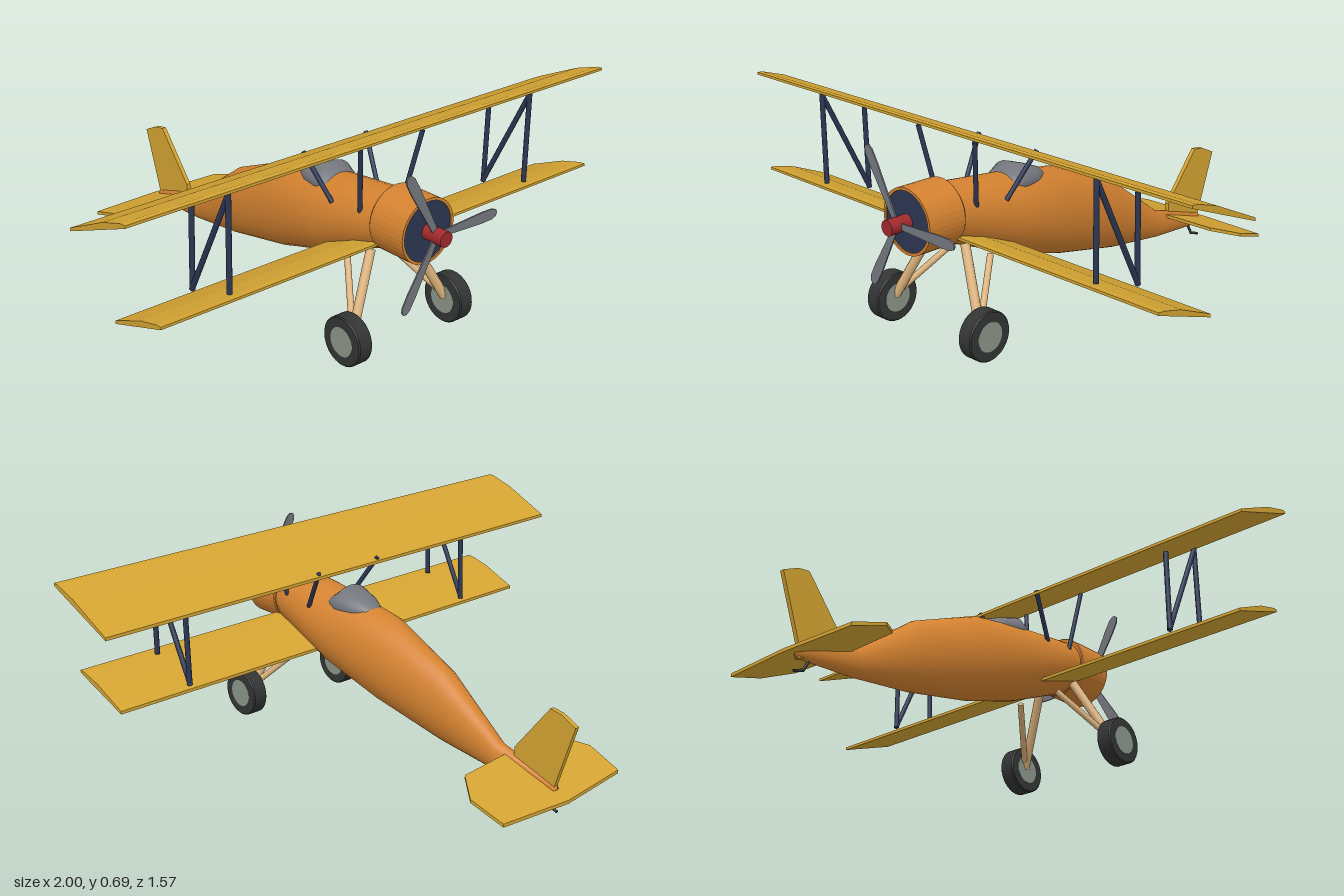
import * as THREE from 'three';

const mat = (name, color, side = THREE.FrontSide) => {
  const m = new THREE.MeshStandardMaterial({ color, side });
  m.name = name;
  return m;
};

export function createModel() {
  const orange = mat('fuselage orange', 0xd48230, THREE.DoubleSide);
  const yellow = mat('wing yellow', 0xd4a432);
  const navy = mat('navy', 0x2c3654);
  const red = mat('hub red', 0xa02a2c);
  const grey = mat('blade grey', 0x74777e);
  const rubber = mat('tyre black', 0x333434);
  const rim = mat('rim grey green', 0x8a9588);
  const wood = mat('wood tan', 0xdcb27c);

  const plane = new THREE.Group();
  plane.name = 'biplane';
  const add = (name, geometry, material, parent = plane) => {
    const mesh = new THREE.Mesh(geometry, material);
    mesh.name = name;
    parent.add(mesh);
    return mesh;
  };

  // Smooth skin through elliptical sections [z, bottom y, top y, half width], front to back
  const loft = (sections, n = 32) => {
    const pos = [], index = [];
    sections.forEach(([z, y0, y1, w], i) => {
      for (let j = 0; j < n; j++) {
        const a = (j / n) * Math.PI * 2;
        pos.push(w * Math.cos(a), (y0 + y1) / 2 + ((y1 - y0) / 2) * Math.sin(a), z);
        if (i === sections.length - 1) continue;
        const p = i * n + j, q = i * n + ((j + 1) % n);
        index.push(p, p + n, q, q, p + n, q + n);
      }
    });
    const g = new THREE.BufferGeometry();
    g.setAttribute('position', new THREE.Float32BufferAttribute(pos, 3));
    g.setIndex(index);
    g.computeVertexNormals();
    return g;
  };

  const extrude = (points, depth) => new THREE.ExtrudeGeometry(
    new THREE.Shape(points.map(([x, y]) => new THREE.Vector2(x, y))), { depth, bevelEnabled: false }
  ).translate(0, 0, -depth / 2);

  // Side profile of [z, y] points, swept across x
  const sideProfile = (points, width) => extrude(points, width).rotateY(-Math.PI / 2);

  // Round bar between two points
  const bar = (name, from, to, radius, material, parent = plane) => {
    const a = new THREE.Vector3(...from), b = new THREE.Vector3(...to);
    const dir = b.clone().sub(a);
    const mesh = add(name, new THREE.CylinderGeometry(radius, radius, dir.length(), 12), material, parent);
    mesh.position.copy(a).add(b).multiplyScalar(0.5);
    mesh.quaternion.setFromUnitVectors(new THREE.Vector3(0, 1, 0), dir.normalize());
    return mesh;
  };

  // Fuselage and windshield
  add('fuselage', loft([
    [0.57, 0.33, 0.524, 0.1],
    [0.55, 0.322, 0.523, 0.108],
    [0.31, 0.222, 0.498, 0.124],
    [0.07, 0.15, 0.464, 0.108],
    [-0.215, 0.092, 0.347, 0.071],
    [-0.46, 0.063, 0.167, 0.034],
    [-0.705, 0.05, 0.1, 0.012],
    [-0.706, 0.075, 0.075, 0],
  ]), orange);
  add('windshield', loft([
    [0.31, 0.44, 0.494, 0.07],
    [0.27, 0.41, 0.528, 0.08],
    [0.2, 0.42, 0.504, 0.065],
    [0.15, 0.43, 0.483, 0.04],
    [0.135, 0.45, 0.466, 0],
  ]), grey);

  // Engine cowl with a recessed dark face
  const cowl = add('cowl', new THREE.LatheGeometry([
    [0, 0.562], [0.108, 0.562], [0.111, 0.566], [0.111, 0.71], [0.101, 0.71], [0.101, 0.7],
  ].map(([r, z]) => new THREE.Vector2(r, z)), 40).toNonIndexed(), orange);
  cowl.geometry.computeVertexNormals();
  cowl.geometry.rotateX(Math.PI / 2).translate(0, 0.433, 0);
  add('engineFace', new THREE.CylinderGeometry(0.102, 0.102, 0.01, 40)
    .rotateX(Math.PI / 2).translate(0, 0.433, 0.701), navy);

  // Propeller
  const propeller = new THREE.Group();
  propeller.name = 'propeller';
  propeller.position.set(0, 0.433, 0.748);
  plane.add(propeller);
  add('hub', new THREE.CylinderGeometry(0.026, 0.026, 0.08, 24).rotateX(Math.PI / 2), red, propeller);
  const blade = extrude([
    [0.01, -0.01], [0.12, -0.015], [0.2, -0.019], [0.245, -0.018], [0.262, -0.011],
    [0.267, 0], [0.262, 0.011], [0.245, 0.018], [0.2, 0.019], [0.12, 0.015], [0.01, 0.01],
  ], 0.005);
  for (let i = 0; i < 3; i++) {
    add('blade', blade, grey, propeller).rotation.z = (i * Math.PI * 2) / 3;
  }

  // Wings
  add('upperWing', sideProfile([
    [0.55, 0.688], [0.55, 0.697], [0.53, 0.696], [0.44, 0.668], [0.268, 0.589], [0.268, 0.578],
  ].reverse(), 2), yellow);
  add('lowerWing', sideProfile([
    [0.578, 0.36], [0.578, 0.369], [0.555, 0.367], [0.48, 0.348], [0.348, 0.293], [0.348, 0.282],
  ].reverse(), 1.83), yellow);

  // Tail fin and tilted tailplane
  add('tailFin', sideProfile([
    [-0.53, 0.1], [-0.53, 0.176], [-0.675, 0.356], [-0.72, 0.35], [-0.78, 0.322], [-0.705, 0.1], [-0.705, 0.048],
  ], 0.016), yellow);
  const half = [[0.22, 0.515], [0.287, 0.605], [0.275, 0.735]];
  const tail = extrude([
    [0, 0.5], ...half, [0, 0.758], ...half.map(([x, z]) => [-x, z]).reverse(),
  ], 0.012).rotateX(-Math.PI / 2);
  const p = tail.attributes.position;
  for (let i = 0; i < p.count; i++) p.setY(i, p.getY(i) + 0.142 + (p.getZ(i) + 0.49) * 0.31);
  tail.computeVertexNormals();
  add('tailplane', tail, yellow);

  // Tail skid
  bar('tailSkid', [0, 0.065, -0.65], [0, 0.02, -0.675], 0.005, rubber);
  bar('tailSkidFoot', [0, 0.02, -0.674], [0, 0.007, -0.713], 0.005, rubber);

  // Struts and landing gear, mirrored
  for (const s of [1, -1]) {
    const side = s > 0 ? 'left' : 'right';
    const struts = new THREE.Group();
    struts.name = side + 'Struts';
    plane.add(struts);
    const x = s * 0.64;
    bar('frontStrut', [x, 0.365, 0.537], [x, 0.686, 0.537], 0.009, navy, struts);
    bar('rearStrut', [x, 0.305, 0.355], [x, 0.6, 0.36], 0.009, navy, struts);
    bar('diagonalStrut', [x, 0.305, 0.352], [x, 0.68, 0.537], 0.009, navy, struts);
    bar('frontCabaneStrut', [s * 0.095, 0.455, 0.505], [s * 0.133, 0.682, 0.54], 0.008, navy, struts);
    bar('rearCabaneStrut', [s * 0.1, 0.445, 0.38], [s * 0.136, 0.598, 0.278], 0.008, navy, struts);

    const gear = new THREE.Group();
    gear.name = side + 'LandingGear';
    plane.add(gear);
    bar('mainLeg', [s * 0.205, 0.095, 0.6], [s * 0.08, 0.335, 0.542], 0.016, wood, gear);
    bar('braceLeg', [s * 0.205, 0.1, 0.6], [s * 0.085, 0.272, 0.44], 0.011, wood, gear);
    const wheel = new THREE.Group();
    wheel.name = 'wheel';
    wheel.position.set(s * 0.224, 0.088, 0.6);
    wheel.rotation.z = Math.PI / 2;
    gear.add(wheel);
    const tyre = new THREE.LatheGeometry([
      [0.048, -0.028], [0.08, -0.028], [0.084, -0.024], [0.084, 0.024], [0.08, 0.028], [0.048, 0.028],
    ].map(([r, y]) => new THREE.Vector2(r, y)), 40).toNonIndexed();
    tyre.computeVertexNormals();
    add('tyre', tyre, rubber, wheel);
    add('rim', new THREE.CylinderGeometry(0.05, 0.05, 0.058, 32), rim, wheel);
  }
  return plane;
}
